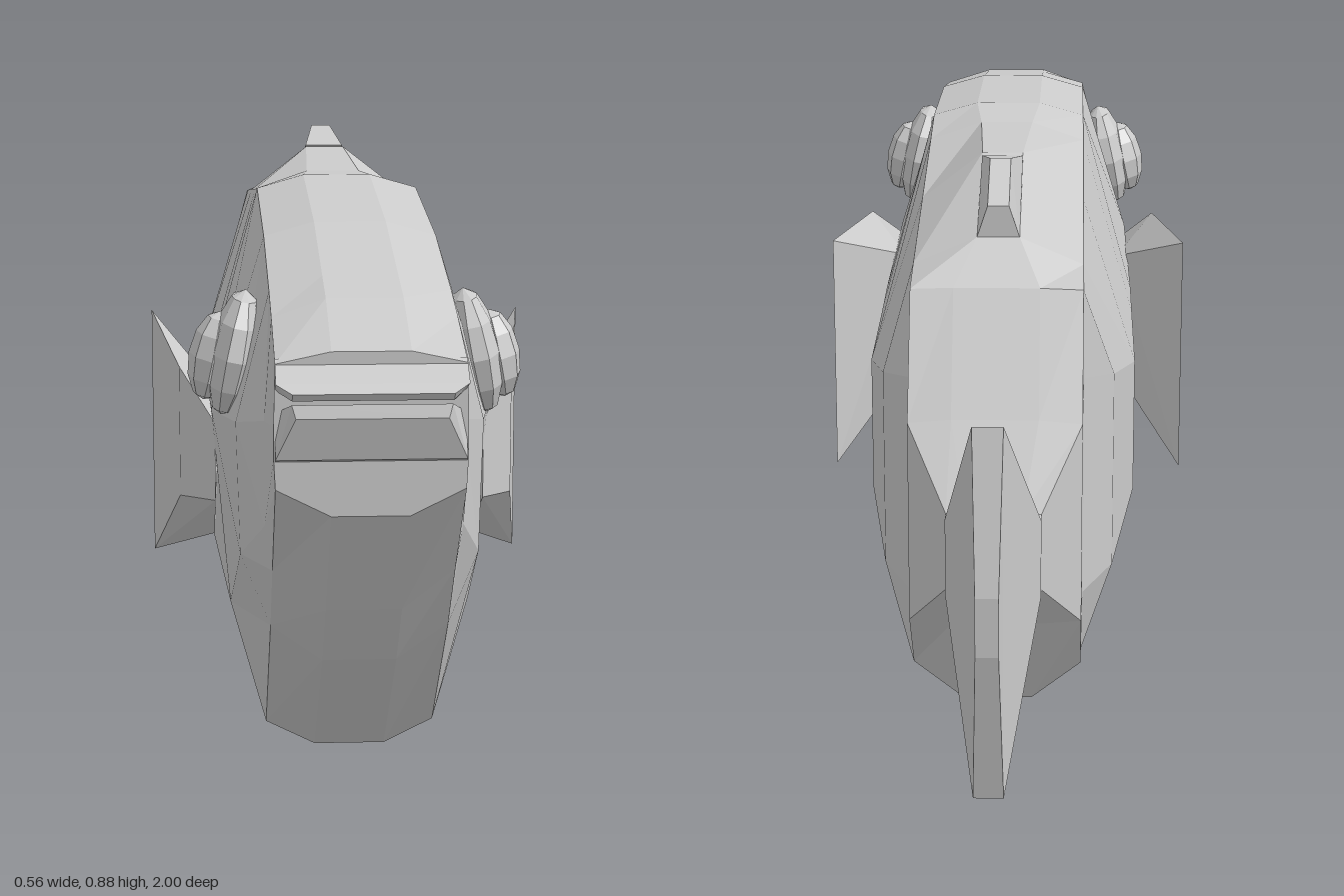
import * as THREE from 'three';
import { ConvexGeometry } from 'three/addons/geometries/ConvexGeometry.js';

const grey = new THREE.MeshStandardMaterial({ color: 0xcccccc, flatShading: true });

function mesh(name, geometry) {
  const m = new THREE.Mesh(geometry, grey);
  m.name = name;
  return m;
}

// Skin a list of mirrored cross-sections, ordered from front to back.
// Each section: { z, half: [[x, y], ...] } running from the top down the left side.
function loft(sections) {
  const rings = sections.map(({ z, half }) => [
    ...half.map(([x, y]) => [x, y, z]),
    ...half.slice().reverse().map(([x, y]) => [-x, y, z]),
  ]);
  const pos = [];
  const n = rings[0].length;
  const cap = (ring, front) => {
    const ys = ring.map((p) => p[1]);
    const mid = [0, (Math.min(...ys) + Math.max(...ys)) / 2, ring[0][2]];
    for (let i = 0; i < n; i++) {
      const a = ring[i], b = ring[(i + 1) % n];
      pos.push(...mid, ...(front ? b : a), ...(front ? a : b));
    }
  };
  cap(rings[0], true);
  for (let k = 0; k < rings.length - 1; k++) {
    for (let i = 0; i < n; i++) {
      const j = (i + 1) % n;
      const a = rings[k][i], b = rings[k][j], c = rings[k + 1][i], d = rings[k + 1][j];
      pos.push(...a, ...b, ...d, ...a, ...d, ...c);
    }
  }
  cap(rings[rings.length - 1], false);
  const g = new THREE.BufferGeometry();
  g.setAttribute('position', new THREE.Float32BufferAttribute(pos, 3));
  g.computeVertexNormals();
  return g;
}

// Convex solid from points on the left half, mirrored to the right.
function mirroredHull(points) {
  return new ConvexGeometry(points.flatMap(([x, y, z]) => [
    new THREE.Vector3(x, y, z), new THREE.Vector3(-x, y, z),
  ]));
}

// One body section: top ridge, upper edge, two flank points, lower edge, keel.
function section(z, [tw, yt], [ew, ye], [uw, yu], [lw, yl], [fw, yf], [bw, yb]) {
  return { z, half: [[tw, yt], [ew, ye], [uw, yu], [lw, yl], [fw, yf], [bw, yb]] };
}

export function createModel() {
  const fish = new THREE.Group();
  fish.name = 'fish';

  // Body from the face to the tail root
  fish.add(mesh('body', loft([
    section(0.955, [0.05, 0.735], [0.12, 0.72], [0.122, 0.64], [0.122, 0.6], [0.12, 0.56], [0.05, 0.525]),
    section(0.82, [0.05, 0.78], [0.12, 0.755], [0.13, 0.62], [0.13, 0.48], [0.12, 0.42], [0.05, 0.365]),
    section(0.73, [0.05, 0.795], [0.12, 0.775], [0.165, 0.6], [0.16, 0.42], [0.12, 0.32], [0.05, 0.27]),
    section(0.5, [0.05, 0.835], [0.12, 0.815], [0.195, 0.57], [0.17, 0.29], [0.12, 0.11], [0.05, 0.075]),
    section(0.16, [0.05, 0.86], [0.12, 0.84], [0.2, 0.55], [0.2, 0.35], [0.12, 0.06], [0.05, 0.022]),
    section(0.05, [0.04, 0.853], [0.12, 0.825], [0.2, 0.545], [0.2, 0.35], [0.12, 0.08], [0.04, 0.035]),
    section(-0.2, [0.03, 0.863], [0.12, 0.793], [0.2, 0.54], [0.2, 0.335], [0.12, 0.125], [0.03, 0.015]),
    section(-0.45, [0.03, 0.8], [0.12, 0.761], [0.165, 0.6], [0.165, 0.31], [0.12, 0.173], [0.03, 0.1]),
    section(-0.535, [0.06, 0.75], [0.12, 0.748], [0.122, 0.62], [0.122, 0.3], [0.12, 0.19], [0.05, 0.135]),
    section(-0.63, [0.06, 0.59], [0.12, 0.585], [0.12, 0.52], [0.12, 0.36], [0.12, 0.295], [0.06, 0.29]),
    section(-0.7, [0.04, 0.48], [0.065, 0.48], [0.065, 0.45], [0.065, 0.4], [0.065, 0.37], [0.04, 0.37]),
  ])));

  // Lips
  fish.add(mesh('upperLip', mirroredHull([
    [0.12, 0.725, 0.945], [0.12, 0.685, 0.945], [0.12, 0.7, 0.985],
    [0.1, 0.69, 1], [0.1, 0.68, 0.99],
  ])));
  fish.add(mesh('lowerLip', mirroredHull([
    [0.12, 0.655, 0.94], [0.12, 0.59, 0.94], [0.12, 0.6, 0.965],
    [0.1, 0.672, 0.975], [0.095, 0.655, 0.98],
  ])));

  // Fins on the ridge and the keel
  fish.add(mesh('dorsalFin', mirroredHull([
    [0.03, 0.863, -0.22], [0.015, 0.885, -0.33], [0.015, 0.845, -0.45],
    [0.03, 0.8, -0.45], [0.03, 0.78, -0.3],
  ])));
  fish.add(mesh('bellyFin', mirroredHull([
    [0.03, 0.015, -0.18], [0.02, 0.002, -0.12], [0.02, 0.01, -0.32],
    [0.02, 0.068, -0.49], [0.03, 0.13, -0.54], [0.03, 0.16, -0.45],
  ])));

  // Tail, a fan that thins towards the back
  const tail = [
    [-0.69, 0.065, 0.48, 0.37], [-0.725, 0.065, 0.48, 0.37],
    [-0.95, 0.02, 0.69, 0.18], [-1, 0.015, 0.48, 0.4],
  ];
  fish.add(mesh('tailFin', loft(tail.map(([z, w, top, bottom]) => (
    { z, half: [[w, top], [w, bottom]] })))));

  // Side fins and eyes
  for (const [side, s] of [['left', 1], ['right', -1]]) {
    const finPoints = [
      [0.19, 0.55, 0.5], [0.19, 0.438, 0.5], [0.24, 0.615, 0.41], [0.24, 0.425, 0.41],
      [0.282, 0.645, 0.1], [0.282, 0.265, 0.1], [0.18, 0.56, 0.33], [0.19, 0.345, 0.32],
    ].map(([x, y, z]) => new THREE.Vector3(s * x, y, z));
    fish.add(mesh(side + 'SideFin', new ConvexGeometry(finPoints)));

    const eye = new THREE.Group();
    eye.name = side + 'Eye';
    const ball = mesh('eyeball', new THREE.SphereGeometry(1, 10, 6));
    ball.scale.set(0.035, 0.088, 0.088);
    const pupil = mesh('pupil', new THREE.SphereGeometry(1, 8, 6));
    pupil.scale.set(0.032, 0.062, 0.055);
    pupil.position.set(s * 0.028, -0.01, 0);
    eye.add(ball, pupil);
    eye.position.set(s * 0.165, 0.672, 0.61);
    eye.rotation.z = s * 0.2;
    fish.add(eye);
  }

  return fish;
}
